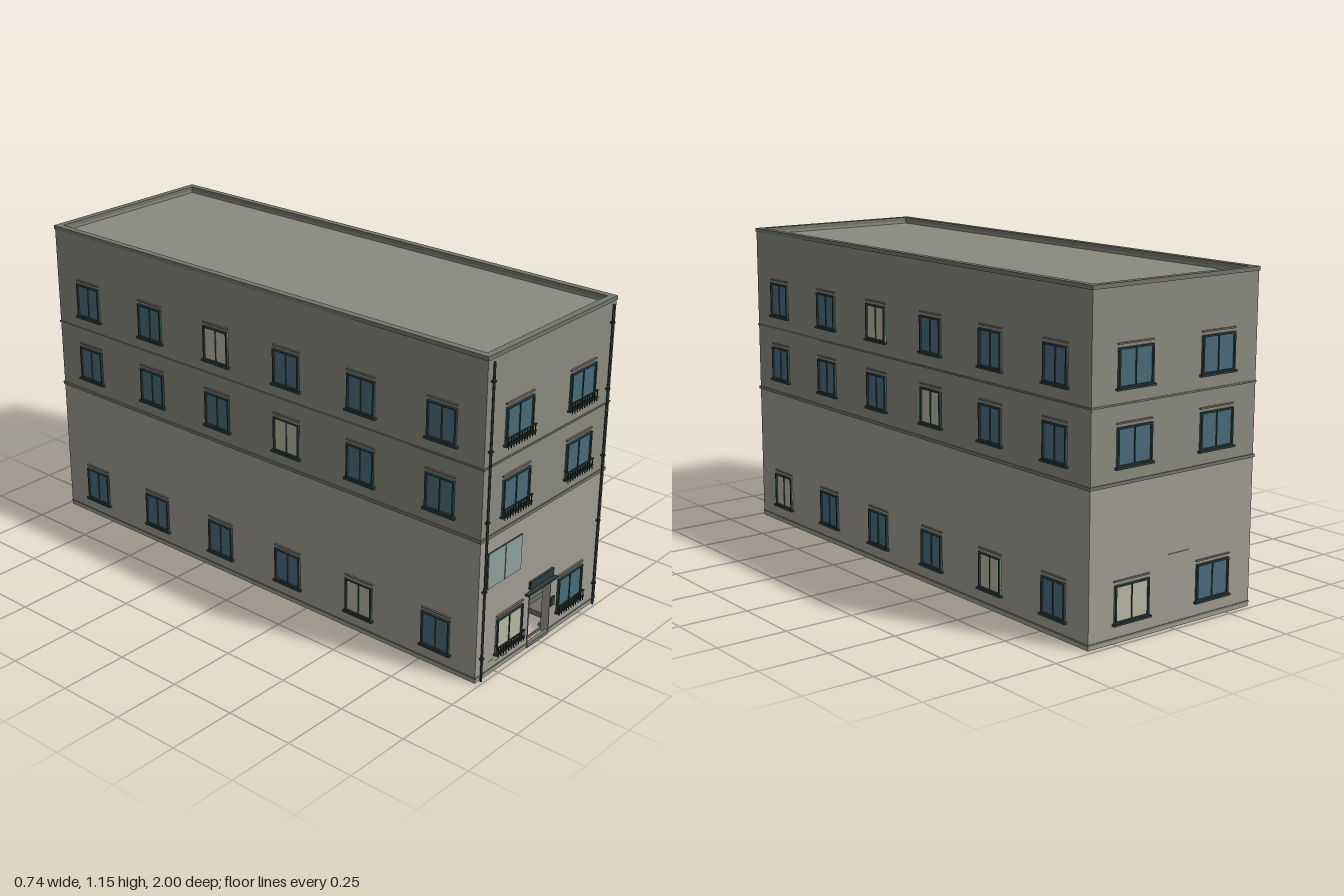
import * as THREE from 'three';

const mat = (color) => new THREE.MeshStandardMaterial({ color });
const M = {
  lower: mat(0x9e9c91), upper: mat(0x8a8a80), trim: mat(0x74756d), under: mat(0x6c6b64),
  frame: mat(0x2c3e3e), iron: mat(0x2b3331), glass: mat(0x4a6a7a), lit: mat(0xb9b6a2),
  pane: mat(0x8fa19d), lintel: mat(0x84766a), lamp: mat(0xc9c6a4),
};
const W = 0.355, D = 0.982; // half width and half depth of the walls

// Box given by its min and max corners
function box(parent, name, m, x0, x1, y0, y1, z0, z1) {
  const mesh = new THREE.Mesh(new THREE.BoxGeometry(x1 - x0, y1 - y0, z1 - z0), m);
  mesh.position.set((x0 + x1) / 2, (y0 + y1) / 2, (z0 + z1) / 2);
  mesh.name = name;
  parent.add(mesh);
  return mesh;
}

function poly(points, Type = THREE.Shape) {
  return new Type(points.map(([x, y]) => new THREE.Vector2(x, y)));
}

const rect = (a, b) => [[-a, -b], [a, -b], [a, b], [-a, b]];

// Flat plan shape (x, -z) raised from y0 to y1
function planSlab(parent, name, m, outer, hole, y0, y1) {
  const s = poly(outer);
  if (hole) s.holes.push(poly(hole, THREE.Path));
  const g = new THREE.ExtrudeGeometry(s, { depth: y1 - y0, bevelEnabled: false });
  g.rotateX(-Math.PI / 2);
  const mesh = new THREE.Mesh(g, m);
  mesh.position.y = y0;
  mesh.name = name;
  parent.add(mesh);
}

// Window in local space: wall plane is z = 0, outward is +z, base at y = 0
function makeWindow(w, lit, railing) {
  const g = new THREE.Group();
  g.name = 'window';
  const h = 0.126, a = w / 2, t = 0.006;
  box(g, 'glass', lit ? M.lit : M.glass, -a, a, 0, h, -0.002, 0.003);
  for (const s of [-1, 1]) {
    const x = s * (a - t / 2);
    box(g, 'frameSide', M.frame, x - t / 2, x + t / 2, 0, h, 0, 0.009);
  }
  box(g, 'frameTop', M.frame, -a, a, h - t, h, 0, 0.009);
  box(g, 'frameBottom', M.frame, -a, a, 0, t, 0, 0.009);
  box(g, 'mullion', M.frame, -0.0018, 0.0018, 0, h, 0, 0.006);
  box(g, 'sill', M.frame, -a - 0.007, a + 0.007, -0.006, 0.001, 0, 0.013);
  box(g, 'lintel', M.lintel, -a - 0.002, a + 0.002, h + 0.01, h + 0.015, 0, 0.006);
  if (railing) {
    // Low iron guard in front of the glass
    box(g, 'railTop', M.iron, -a - 0.005, a + 0.005, 0.025, 0.029, 0.013, 0.018);
    box(g, 'railBottom', M.iron, -a - 0.005, a + 0.005, 0.001, 0.005, 0.013, 0.018);
    for (let i = 0; i <= 10; i++) {
      const x = -a + (w * i) / 10;
      box(g, 'railBar', M.iron, x - 0.0012, x + 0.0012, -0.012, 0.027, 0.014, 0.017);
    }
    for (const s of [-1, 1]) box(g, 'railReturn', M.iron, s * a - 0.002, s * a + 0.002, 0.025, 0.029, 0, 0.015);
  }
  return g;
}

function buildShell(root) {
  const g = new THREE.Group();
  g.name = 'shell';
  root.add(g);
  const t = 0.03;
  // Front wall with door opening
  const front = poly([[-W, 0], [-0.062, 0], [-0.062, 0.207], [0.062, 0.207], [0.062, 0], [W, 0], [W, 0.52], [-W, 0.52]]);
  const wall = new THREE.Mesh(new THREE.ExtrudeGeometry(front, { depth: t, bevelEnabled: false }), M.lower);
  wall.position.z = D - t;
  wall.name = 'frontWall';
  g.add(wall);
  box(g, 'backWall', M.lower, -W, W, 0, 0.52, -D, -D + t);
  for (const s of [-1, 1]) {
    const x = s * (W - t / 2);
    box(g, 'sideWall', M.lower, x - t / 2, x + t / 2, 0, 0.52, -D + t, D - t);
  }
  box(g, 'upperStoreys', M.upper, -W, W, 0.52, 1.122, -D, D);
  planSlab(g, 'parapet', M.upper, rect(W, D), rect(W - 0.02, D - 0.02), 1.122, 1.132);
  planSlab(g, 'parapetCap', M.trim, rect(W + 0.003, D + 0.003), rect(W - 0.022, D - 0.022), 1.132, 1.146);

  // Open passage with a stair bay beside it
  const hole = [[-0.08, -0.95], [0.08, -0.95], [0.08, -0.93], [0.24, -0.93], [0.24, -0.31], [0.08, -0.31], [0.08, 0.95], [-0.08, 0.95]];
  planSlab(g, 'baseSlab', M.under, rect(W - t, D - t + 0.001), hole, 0.001, 0.012);
  box(g, 'passageCeiling', M.under, -0.1, 0.26, 0.23, 0.24, -0.952, 0.952);
  box(g, 'passageWall', M.lower, -0.1, -0.08, 0.01, 0.23, -0.952, 0.952);
  box(g, 'passageWall', M.lower, 0.08, 0.1, 0.01, 0.23, -0.952, 0.31);
  box(g, 'stairWall', M.lower, 0.24, 0.26, 0.01, 0.23, 0.29, 0.952);
  box(g, 'stairEndWall', M.lower, 0.1, 0.24, 0.01, 0.23, 0.29, 0.31);
  for (let i = 0; i < 10; i++) {
    const z = 0.92 - i * 0.06;
    box(g, 'stairStep', M.under, 0.11, 0.24, 0.015 + i * 0.02, 0.035 + i * 0.02, z - 0.06, z);
  }

  // String courses and plinth line
  for (const [y, h, p] of [[0.52, 0.011, 0.004], [0.77, 0.006, 0.003]]) {
    planSlab(g, 'stringCourse', M.trim, rect(W + p, D + p), rect(W - 0.002, D - 0.002), y - h / 2, y + h / 2);
  }
  const p = 0.002;
  box(g, 'plinthBack', M.trim, -W - p, W + p, 0.014, 0.02, -D - p, -D);
  for (const s of [-1, 1]) {
    box(g, 'plinthSide', M.trim, s * W - p, s * W + p, 0.014, 0.02, -D, D);
    const c = s * (W + 0.062) / 2, a = (W - 0.062) / 2;
    box(g, 'plinthFront', M.trim, c - a, c + a, 0.014, 0.02, D, D + p);
  }
  box(g, 'threshold', M.trim, -0.062, 0.062, 0, 0.012, D - 0.012, D + 0.003);
}

function buildWindows(root) {
  const floors = [0.067, 0.572, 0.82];
  const bays = [0.818, 0.49, 0.165, -0.162, -0.49, -0.816];
  // Index of the lit windows on each floor of each side, counted from +z
  const litRight = [[0, 4], [3], [2]], litLeft = [[1], [2], [3]];
  floors.forEach((y, f) => {
    for (const s of [-1, 1]) {
      const fw = makeWindow(0.145, f === 0 && s < 0, true);
      fw.position.set(s * 0.178, y, D);
      const bw = makeWindow(0.145, f === 0 && s > 0, false);
      bw.position.set(s * 0.178, y, -D);
      bw.rotation.y = Math.PI;
      root.add(fw, bw);
      bays.forEach((z, i) => {
        const sw = makeWindow(0.115, (s > 0 ? litRight : litLeft)[f].includes(i), false);
        sw.position.set(s * W, y, z);
        sw.rotation.y = s * Math.PI / 2;
        root.add(sw);
      });
    }
  });
}

function buildFrontDetails(root) {
  const g = new THREE.Group();
  g.name = 'frontDetails';
  root.add(g);
  // Wide pale window on the first floor
  box(g, 'paleWindowFrame', M.frame, -0.313, -0.125, 0.33, 0.461, D, D + 0.002);
  box(g, 'palePane', M.pane, -0.311, -0.221, 0.332, 0.459, D, D + 0.004);
  box(g, 'palePane', M.pane, -0.217, -0.127, 0.332, 0.459, D, D + 0.004);
  // Entrance: jambs, canopy, blank sign board and entry panel
  for (const s of [-1, 1]) box(g, 'doorJamb', M.trim, s * 0.063 - 0.0015, s * 0.063 + 0.0015, 0, 0.207, D, D + 0.002);
  box(g, 'canopy', M.frame, -0.088, 0.086, 0.211, 0.218, D, D + 0.014);
  box(g, 'canopyLight', M.lamp, -0.075, 0.075, 0.207, 0.211, D, D + 0.008);
  box(g, 'signBoard', M.frame, -0.069, 0.067, 0.228, 0.256, D, D + 0.009);
  box(g, 'entryPanel', M.frame, 0.065, 0.086, 0.106, 0.139, D, D + 0.006);
  box(g, 'entryButton', M.lamp, 0.074, 0.077, 0.117, 0.121, D, D + 0.008);
  // Worn brick marks low on the wall
  [[-0.24, 0.036], [-0.2, 0.047], [-0.16, 0.041], [-0.125, 0.036], [-0.09, 0.047], [-0.27, 0.049], [-0.19, 0.034]].forEach(([x, y]) =>
    box(g, 'brickMark', M.lintel, x - 0.012, x + 0.012, y - 0.001, y + 0.001, D, D + 0.001));
  box(g, 'backWallMark', M.trim, -0.07, 0.02, 0.249, 0.252, -D - 0.002, -D);
  // Downpipes with brackets
  for (const s of [-1, 1]) {
    const pipe = new THREE.Mesh(new THREE.CylinderGeometry(0.004, 0.004, 1.123, 10), M.iron);
    pipe.position.set(s * 0.331, 0.5615, D + 0.007);
    pipe.name = 'downpipe';
    g.add(pipe);
    for (const y of [0.085, 0.332, 0.58, 0.825, 1.06])
      box(g, 'pipeBracket', M.iron, s * 0.331 - 0.007, s * 0.331 + 0.007, y - 0.003, y + 0.003, D, D + 0.012);
  }
}

export function createModel() {
  const root = new THREE.Group();
  root.name = 'apartmentBuilding';
  buildShell(root);
  buildWindows(root);
  buildFrontDetails(root);
  return root;
}
